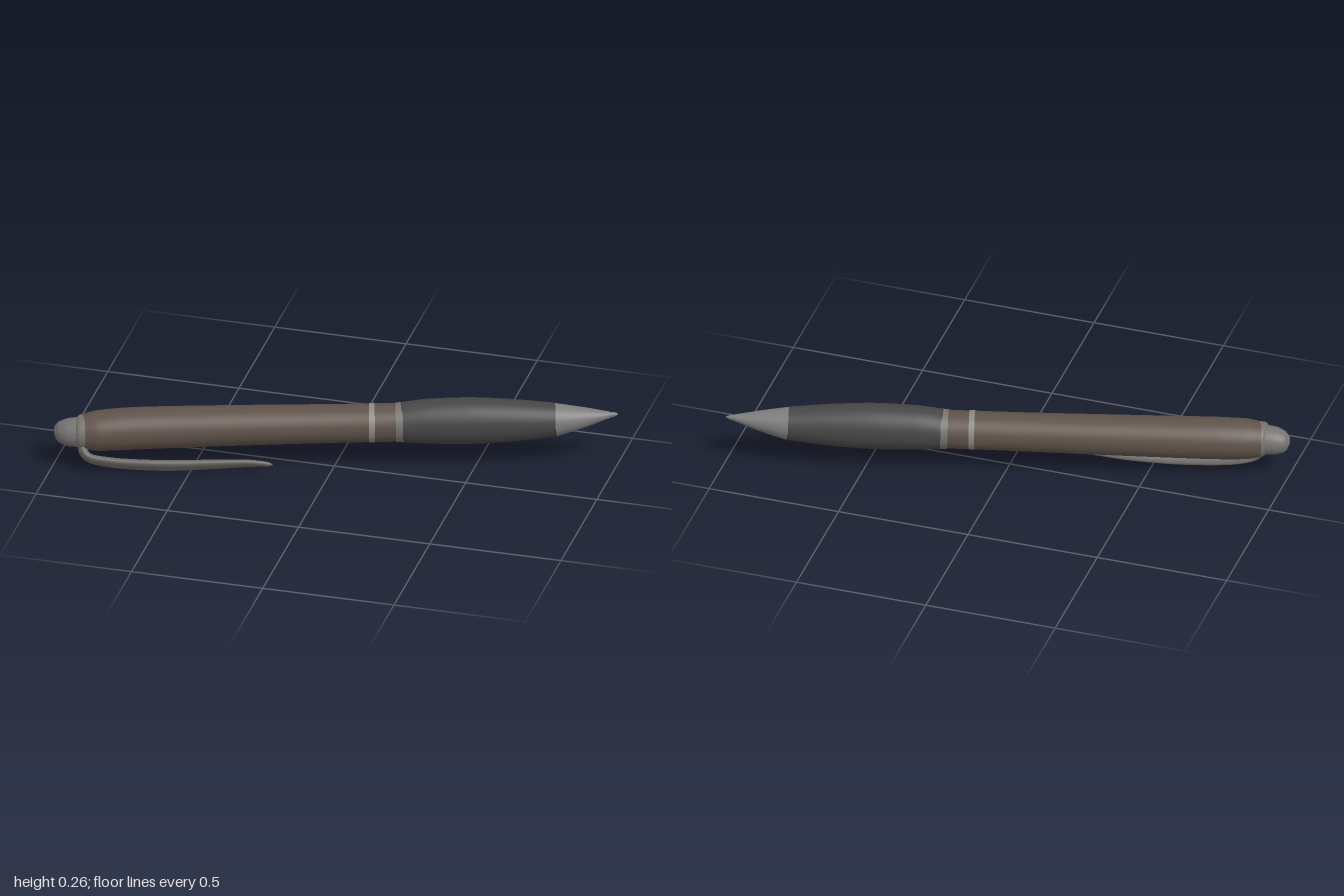
import * as THREE from 'three';

// Sweeps an ellipse through rows of [x, y, z, a, b]:
// a is the half size along the fixed vector w, b the half size across it.
function loft(rows, w, steps = 32, sides = 40) {
  const path = new THREE.CatmullRomCurve3(rows.map(r => new THREE.Vector3(r[0], r[1], r[2])), false, 'centripetal');
  const size = new THREE.CatmullRomCurve3(rows.map(r => new THREE.Vector3(r[3], r[4], 0)), false, 'centripetal');
  const pos = [], idx = [];
  const ring = (c, t, a, b) => {
    const u = w.clone().addScaledVector(t, -w.dot(t)).normalize();
    const v = t.clone().cross(u);
    for (let j = 0; j < sides; j++) {
      const q = (j / sides) * Math.PI * 2;
      const p = c.clone().addScaledVector(u, a * Math.cos(q)).addScaledVector(v, b * Math.sin(q));
      pos.push(p.x, p.y, p.z);
    }
  };
  for (let i = 0; i <= steps; i++) {
    const t = i / steps, s = size.getPoint(t);
    ring(path.getPoint(t), path.getTangent(t), Math.max(s.x, 0.001), Math.max(s.y, 0.001));
  }
  for (let i = 0; i < steps; i++) {
    for (let j = 0; j < sides; j++) {
      const k = (j + 1) % sides;
      const a = i * sides + j, b = i * sides + k, c = a + sides, d = b + sides;
      idx.push(a, b, c, b, d, c);
    }
  }
  // Flat ends
  for (const [i, flip] of [[0, true], [steps, false]]) {
    const c = path.getPoint(i / steps), start = pos.length / 3;
    pos.push(c.x, c.y, c.z);
    for (let j = 0; j < sides; j++) {
      const o = (i * sides + j) * 3;
      pos.push(pos[o], pos[o + 1], pos[o + 2]);
    }
    for (let j = 0; j < sides; j++) {
      const p = start + 1 + j, q = start + 1 + ((j + 1) % sides);
      idx.push(start, flip ? q : p, flip ? p : q);
    }
  }
  const g = new THREE.BufferGeometry();
  g.setAttribute('position', new THREE.Float32BufferAttribute(pos, 3));
  g.setIndex(idx);
  g.computeVertexNormals();
  return g;
}

export function createModel() {
  const group = new THREE.Group();
  const up = new THREE.Vector3(0, 1, 0);
  const add = (name, color, rows, w = up, steps) => {
    const mesh = new THREE.Mesh(loft(rows, w, steps), new THREE.MeshStandardMaterial({ color }));
    mesh.name = name;
    group.add(mesh);
  };
  const z = x => -0.03 - 0.28 * x; // the pen lies diagonally
  const row = (x, y, a, b = a) => [x, y, z(x), a, b];

  // Rounded push button and its collar
  add('button', 0x757371, [
    [-0.998, 0.138, 0.258, 0.004, 0.004],
    [-0.993, 0.139, 0.257, 0.024, 0.024],
    [-0.978, 0.141, 0.254, 0.040, 0.040],
    [-0.945, 0.144, 0.250, 0.052, 0.052],
    [-0.89, 0.147, 0.240, 0.057, 0.057],
  ]);
  add('buttonCollar', 0x77716c, [
    [-0.912, 0.146, 0.245, 0.058, 0.058],
    [-0.902, 0.1465, 0.243, 0.065, 0.065],
    [-0.885, 0.147, 0.238, 0.067, 0.067],
  ], up, 8);

  // Long barrel
  add('barrel', 0x5e5249, [
    [-0.89, 0.147, 0.239, 0.066, 0.066],
    [-0.84, 0.150, 0.221, 0.075, 0.077],
    [-0.72, 0.155, 0.180, 0.078, 0.079],
    [-0.4, 0.162, 0.084, 0.075, 0.077],
    row(0, 0.169, 0.071, 0.073),
    row(0.22, 0.173, 0.071, 0.072),
  ], up, 48);

  // Bright trim rings
  add('middleRing', 0x8c8884, [
    row(0.115, 0.172, 0.0725, 0.0735), row(0.135, 0.172, 0.0725, 0.0735)], up, 2);
  add('gripRing', 0x77736f, [
    row(0.21, 0.173, 0.0725, 0.0735), row(0.235, 0.1735, 0.0745, 0.074)], up, 2);

  // Swelling soft grip
  add('grip', 0x464646, [
    row(0.23, 0.1735, 0.074, 0.073),
    row(0.32, 0.177, 0.084, 0.077),
    row(0.46, 0.179, 0.088, 0.079),
    row(0.62, 0.180, 0.080, 0.073),
    row(0.775, 0.182, 0.063, 0.061),
  ], up, 40);

  // Tapered nose and writing point
  add('nose', 0x7c7c7c, [
    row(0.775, 0.182, 0.0625, 0.0605),
    row(0.83, 0.187, 0.049, 0.050),
    row(0.89, 0.193, 0.034, 0.036),
    row(0.945, 0.199, 0.018, 0.020),
    row(0.965, 0.201, 0.013, 0.013),
  ]);
  add('point', 0x777777, [
    row(0.96, 0.2, 0.013, 0.013),
    row(0.985, 0.203, 0.008, 0.008),
    row(0.997, 0.2045, 0.002, 0.002),
  ], up, 10);

  // Bowed pocket clip, low on the front side of the barrel
  const across = new THREE.Vector3(0.21, 0.63, 0.75).normalize();
  add('clip', 0x6f6c68, [
    [-0.885, 0.115, 0.262, 0.030, 0.018],
    [-0.882, 0.088, 0.276, 0.031, 0.017],
    [-0.860, 0.065, 0.279, 0.036, 0.016],
    [-0.79, 0.048, 0.264, 0.042, 0.017],
    [-0.6, 0.039, 0.222, 0.046, 0.018],
    [-0.42, 0.044, 0.174, 0.041, 0.016],
    [-0.28, 0.050, 0.139, 0.029, 0.012],
    [-0.215, 0.049, 0.128, 0.014, 0.008],
    [-0.202, 0.048, 0.126, 0.002, 0.002],
  ], across, 64);

  return group;
}
